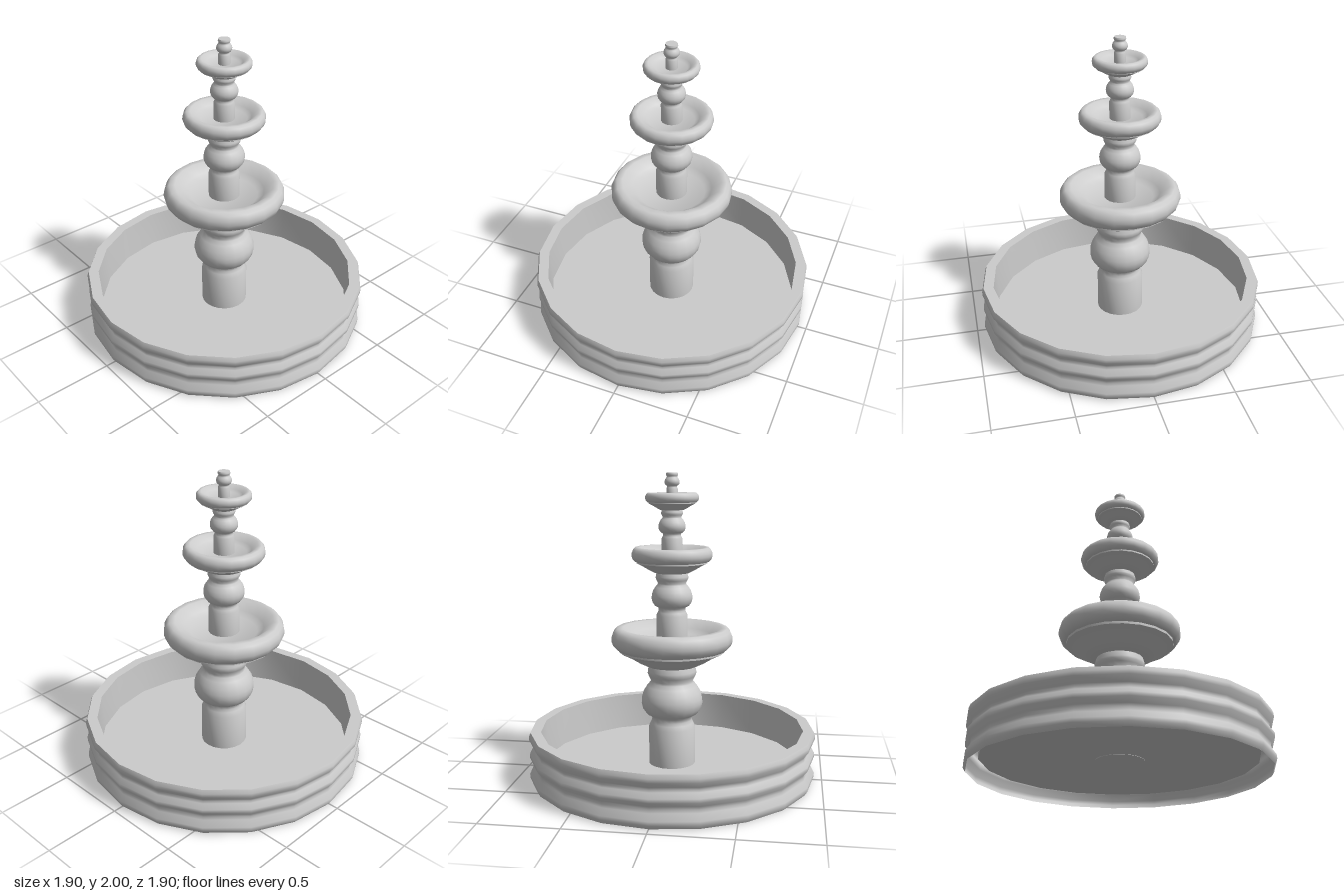
import * as THREE from 'three';
import { toCreasedNormals } from 'three/addons/utils/BufferGeometryUtils.js';

const SIDES = 20;
const stone = new THREE.MeshStandardMaterial({ color: 0xcccccc });
const shell = new THREE.MeshStandardMaterial({ color: 0xcccccc, side: THREE.DoubleSide });

// Turned part from [radius, height] pairs; sharp corners stay creased
function turned(name, profile, material = stone) {
  const points = profile.map(([r, y]) => new THREE.Vector2(r, y));
  const geometry = toCreasedNormals(new THREE.LatheGeometry(points, SIDES), 1.1);
  const mesh = new THREE.Mesh(geometry, material);
  mesh.name = name;
  return mesh;
}

// Rippled outer wall, flat rim, inner wall and raised floor, open underneath
const BASIN = [
  [0.933, 0], [0.948, 0.025], [0.948, 0.05], [0.922, 0.09], [0.918, 0.11], [0.922, 0.13],
  [0.946, 0.16], [0.946, 0.185], [0.922, 0.215], [0.918, 0.23], [0.922, 0.245],
  [0.948, 0.28], [0.948, 0.305], [0.938, 0.33],
  [0.87, 0.33], [0.86, 0.08], [0, 0.08],
];

// Plain shaft, neck, large bulb and collar
const COLUMN = [
  [0, -0.002], [0.155, -0.002], [0.155, 0.25], [0.14, 0.28], [0.133, 0.3], [0.135, 0.325],
  [0.17, 0.345], [0.195, 0.38], [0.204, 0.42], [0.202, 0.45], [0.19, 0.49], [0.165, 0.53],
  [0.144, 0.555], [0.14, 0.57], [0.155, 0.6], [0.163, 0.62], [0.162, 0.635], [0.152, 0.67], [0, 0.67],
];

// Flared underside, step, rounded lip and sunken floor
const BOWL = [
  [0, 0], [0.17, 0], [0.225, 0.027], [0.29, 0.067], [0.35, 0.097], [0.35, 0.113],
  [0.365, 0.113], [0.39, 0.14], [0.4, 0.17], [0.398, 0.2], [0.385, 0.23], [0.363, 0.25],
  [0.325, 0.25], [0.265, 0.2], [0.222, 0.17], [0, 0.17],
];

const COLUMN_HEIGHT = 0.67;
const BOWL_FLOOR = 0.17;

export function createModel() {
  const fountain = new THREE.Group();
  fountain.name = 'fountain';
  fountain.add(turned('basin', BASIN, shell));

  // Each tier repeats the column and bowl at a smaller scale
  let y = 0.08;
  [1, 0.66, 0.435].forEach((scale, i) => {
    const tier = new THREE.Group();
    tier.name = `tier${i + 1}`;
    const bowl = turned('bowl', BOWL);
    bowl.position.y = COLUMN_HEIGHT;
    tier.add(turned('column', COLUMN), bowl);
    tier.scale.setScalar(scale);
    tier.position.y = y;
    fountain.add(tier);
    y += (COLUMN_HEIGHT + BOWL_FLOOR) * scale;
  });

  // Small column without a bowl on top
  const finial = turned('finial', COLUMN);
  finial.scale.setScalar((2 - y) / COLUMN_HEIGHT);
  finial.position.y = y;
  fountain.add(finial);

  return fountain;
}
